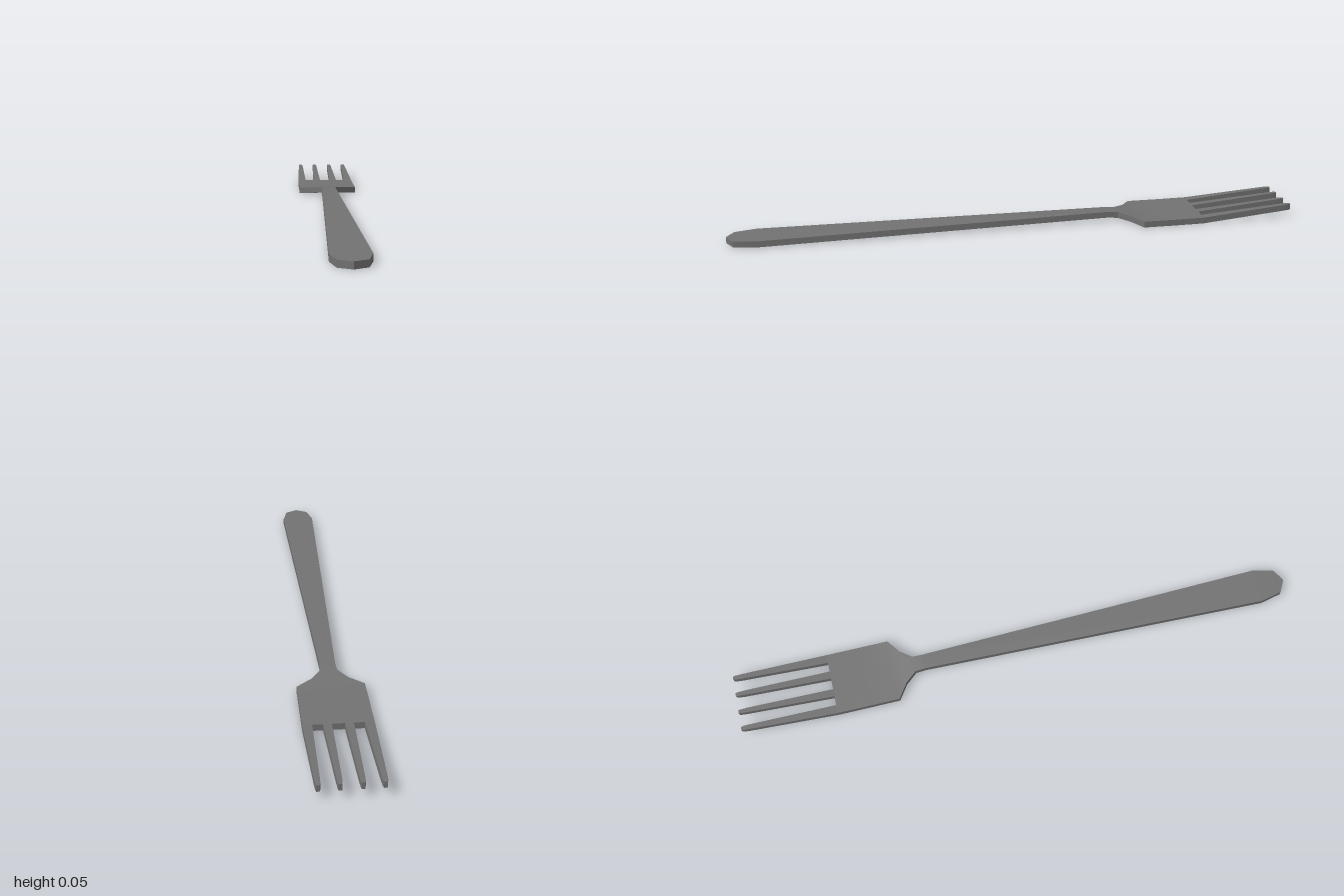
import * as THREE from 'three';
import { toCreasedNormals } from 'three/addons/utils/BufferGeometryUtils.js';

const THICK = 0.022;
const material = new THREE.MeshStandardMaterial({ color: 0x727272 });

// Flat bar through sections [z, xMin, xMax, yBottom], running from front to back and closed at the back
function bar(name, sections) {
  const positions = [];
  const index = [];
  sections.forEach(([z, x0, x1, y]) => {
    positions.push(x0, y + THICK, z, x1, y + THICK, z, x1, y, z, x0, y, z);
  });
  const quad = (a, b, c, d) => index.push(a, b, c, a, c, d);
  for (let i = 0; i < sections.length - 1; i++) {
    for (let k = 0; k < 4; k++) {
      const a = i * 4, n = (k + 1) % 4;
      quad(a + k, a + n, a + 4 + n, a + 4 + k);
    }
  }
  const e = (sections.length - 1) * 4;
  quad(e, e + 1, e + 2, e + 3);

  const geometry = new THREE.BufferGeometry();
  geometry.setAttribute('position', new THREE.Float32BufferAttribute(positions, 3));
  geometry.setIndex(index);
  // Smooth over the gentle bends, sharp along the edges
  const mesh = new THREE.Mesh(toCreasedNormals(geometry, Math.PI / 6), material);
  mesh.name = name;
  return mesh;
}

export function createModel() {
  const group = new THREE.Group();
  group.name = 'fork';

  // Handle with a faceted end, dipping at the neck and flaring into the head: [z, halfWidth, yBottom]
  group.add(bar('handleAndHead', [
    [1, 0, 0],
    [0.975, 0.044, 0],
    [0.9, 0.061, 0.001],
    [-0.34, 0.026, 0.014],
    [-0.375, 0.028, 0.011],
    [-0.415, 0.06, 0.005],
    [-0.45, 0.11, 0],
    [-0.56, 0.11, 0],
    [-0.67, 0.11, 0.001],
  ].map(([z, w, y]) => [z, -w, w, y])));

  // Four tines, tapering and curving upward: [root inner, root outer, tip inner, tip outer]
  const tines = [
    ['OuterTine', 0.08, 0.11, 0.085, 0.102],
    ['InnerTine', 0.02, 0.047, 0.024, 0.04],
  ];
  for (const [label, r0, r1, t0, t1] of tines) {
    for (const side of [1, -1]) {
      const section = (z, a, b, y) => [z, Math.min(a * side, b * side), Math.max(a * side, b * side), y];
      const mid = (t0 + t1) / 2;
      group.add(bar((side > 0 ? 'left' : 'right') + label, [
        section(-0.67, r0, r1, 0.001),
        section(-0.97, t0, t1, 0.0265),
        section(-0.99, t0 + 0.001, t1 - 0.001, 0.028),
        section(-1, mid - 0.005, mid + 0.005, 0.028),
      ]));
    }
  }
  return group;
}
